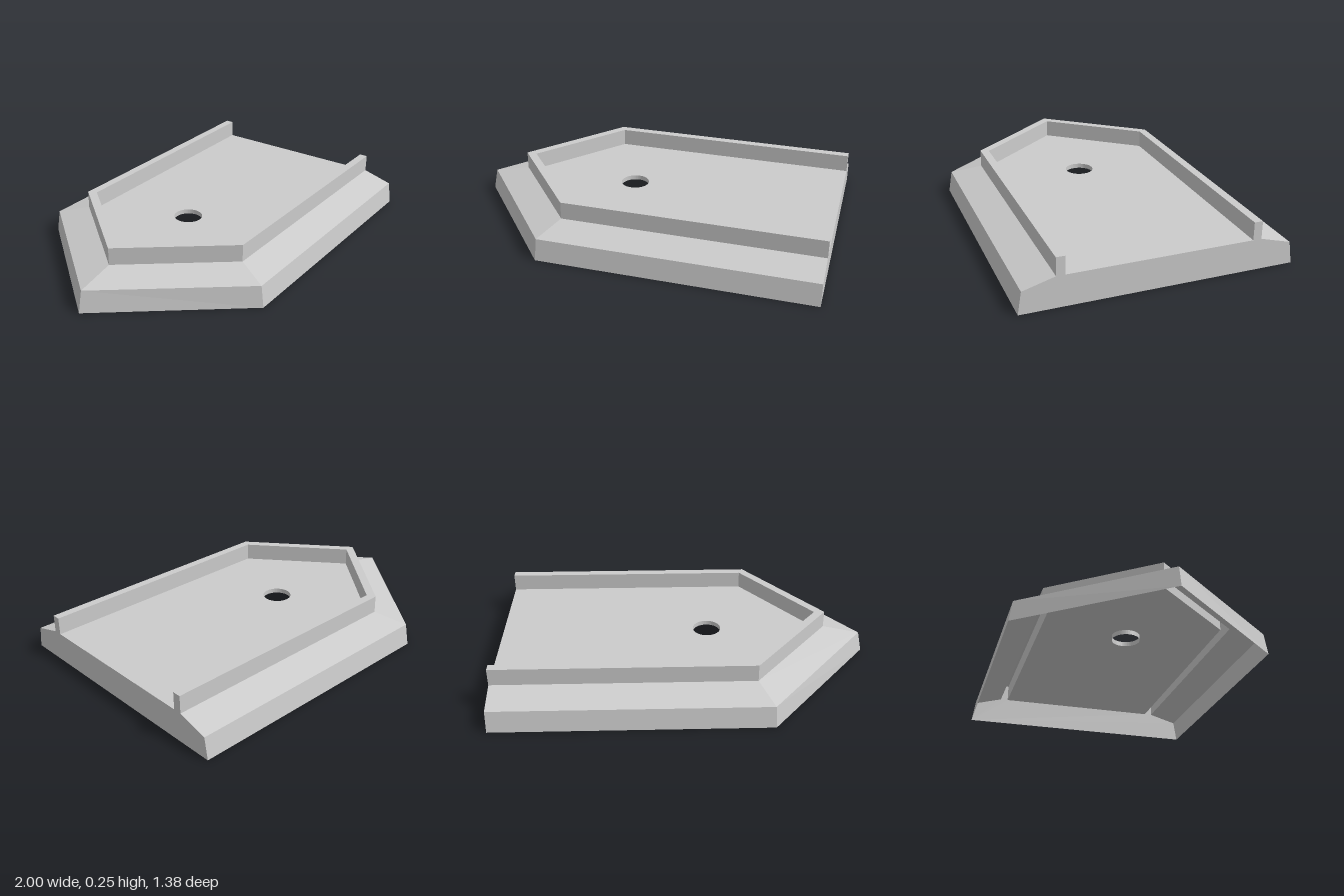
import * as THREE from 'three';

const material = new THREE.MeshStandardMaterial({ color: 0xcccccc, flatShading: true, side: THREE.DoubleSide });

// Cross-section levels, outside to inside: height, half width, x of shoulders, x of tip
const levels = [
  { y: 0, w: 0.69, shoulder: -0.44, tip: -1 },
  { y: 0.115, w: 0.672, shoulder: -0.435, tip: -0.975 },
  { y: 0.16, w: 0.512, shoulder: -0.36, tip: -0.772 },
  { y: 0.253, w: 0.512, shoulder: -0.36, tip: -0.772 },
  { y: 0.253, w: 0.468, shoulder: -0.338, tip: -0.715 },
  { y: 0.16, w: 0.468, shoulder: -0.338, tip: -0.715 },
];
const END = 1;

// Open pointed outline of one level, from the front of the flat end round to its back
const outline = ({ y, w, shoulder, tip }) => [
  [END, y, w], [shoulder, y, w], [tip, y, 0], [shoulder, y, -w], [END, y, -w],
];

// Band of flat quads joining two levels
function band(lower, upper) {
  const a = outline(lower), b = outline(upper), positions = [];
  for (let i = 0; i < a.length - 1; i++) {
    positions.push(...a[i], ...b[i + 1], ...a[i + 1], ...a[i], ...b[i], ...b[i + 1]);
  }
  const geometry = new THREE.BufferGeometry();
  geometry.setAttribute('position', new THREE.Float32BufferAttribute(positions, 3));
  geometry.computeVertexNormals();
  return geometry;
}

export function createModel() {
  const group = new THREE.Group();
  const add = (name, geometry) => {
    const mesh = new THREE.Mesh(geometry, material);
    mesh.name = name;
    group.add(mesh);
    return mesh;
  };

  // Thin skirt, slope and raised rim, open underneath
  const names = ['outerWall', 'slopedShoulder', 'rimOuterWall', 'rimTop', 'rimInnerWall'];
  names.forEach((name, i) => add(name, band(levels[i], levels[i + 1])));

  // Floor with a round hole
  const inner = levels[5];
  const floorShape = new THREE.Shape(outline(inner).map(([x, , z]) => new THREE.Vector2(x, -z)));
  const holeX = -0.122, holeRadius = 0.076;
  floorShape.holes.push(new THREE.Path().absarc(holeX, 0, holeRadius, 0, Math.PI * 2, true));
  const floor = new THREE.ShapeGeometry(floorShape, 24);
  floor.rotateX(-Math.PI / 2);
  add('floor', floor).position.y = inner.y;

  // Short collar lining the hole
  const collarDepth = 0.025;
  const collar = new THREE.CylinderGeometry(holeRadius, holeRadius, collarDepth, 48, 1, true);
  add('holeCollar', collar).position.set(holeX, inner.y - collarDepth / 2, 0);

  // Flat end plate following the full cross-section
  const side = levels.map(({ w, y }) => new THREE.Vector2(w, y));
  const mirrored = levels.map(({ w, y }) => new THREE.Vector2(-w, y)).reverse();
  const endPlate = new THREE.ShapeGeometry(new THREE.Shape([...side, ...mirrored]));
  endPlate.rotateY(Math.PI / 2);
  add('endPlate', endPlate).position.x = END;

  return group;
}
